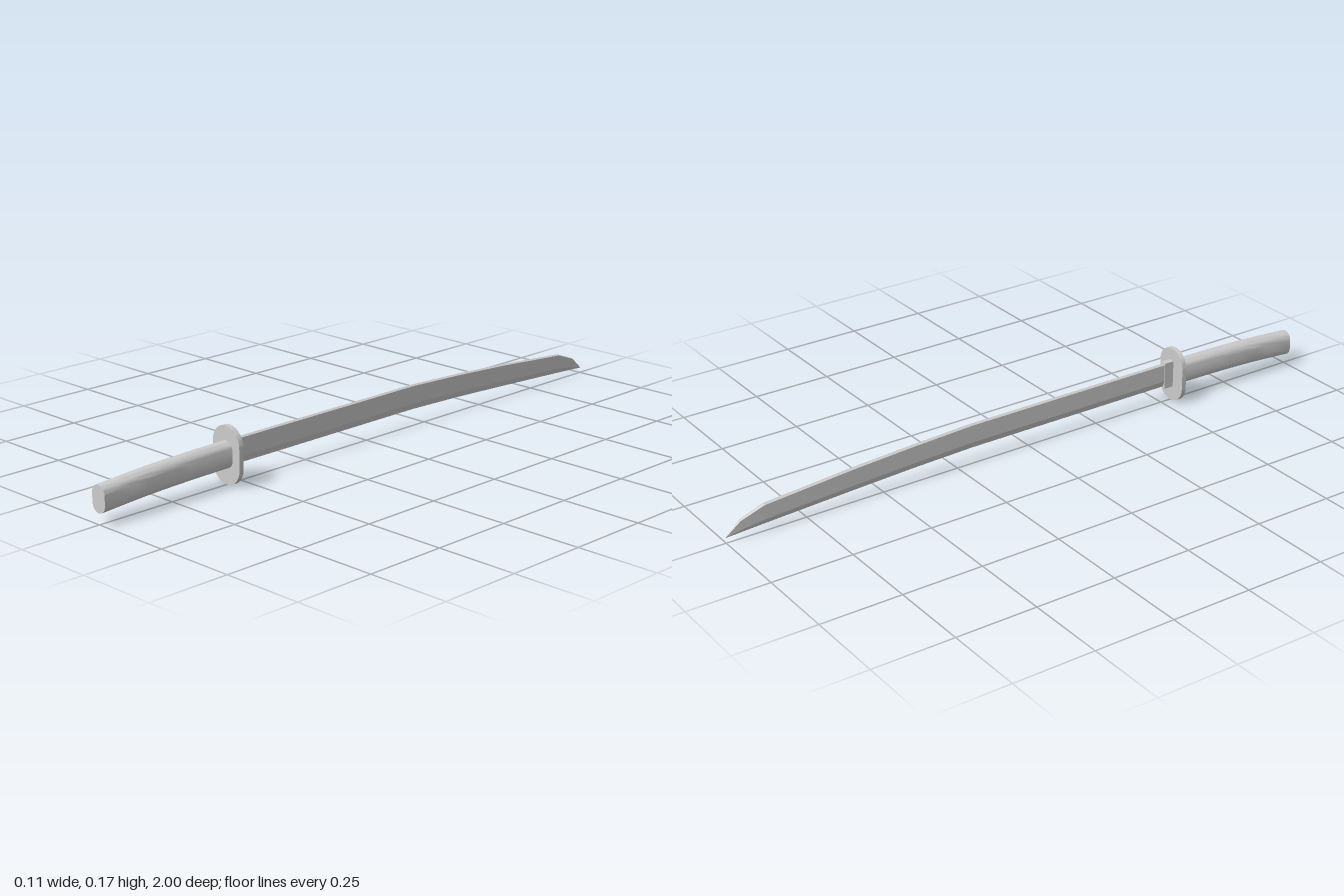
import * as THREE from 'three';
import { toCreasedNormals } from 'three/addons/utils/BufferGeometryUtils.js';

const material = new THREE.MeshStandardMaterial({ color: 0xcccccc });

// Outline of a slot shape (two half circles joined by straight sides), counter-clockwise
function slotPoints(halfWidth, height, steps) {
  const pts = [];
  const straight = height / 2 - halfWidth;
  for (const side of [1, -1]) {
    for (let i = 0; i <= steps; i++) {
      const a = (Math.PI * i) / steps;
      pts.push(new THREE.Vector2(
        side * halfWidth * Math.cos(a),
        side * (straight + halfWidth * Math.sin(a))));
    }
  }
  return pts;
}

// Skin a list of rings { z, points } running from low z to high z, with end caps
function loft(rings, crease) {
  const n = rings[0].points.length;
  const positions = [];
  const index = [];
  for (const { z, points } of rings) {
    for (const p of points) positions.push(p.x, p.y, z);
  }
  for (let r = 0; r < rings.length - 1; r++) {
    for (let i = 0; i < n; i++) {
      const a = r * n + i;
      const b = r * n + ((i + 1) % n);
      index.push(a, b, b + n, a, b + n, a + n);
    }
  }
  const last = (rings.length - 1) * n;
  for (let i = 1; i < n - 1; i++) {
    index.push(0, i + 1, i, last, last + i, last + i + 1);
  }
  const geometry = new THREE.BufferGeometry();
  geometry.setAttribute('position', new THREE.Float32BufferAttribute(positions, 3));
  geometry.setIndex(index);
  return toCreasedNormals(geometry, crease);
}

// Blade cross-section: low ridge on the spine, flat sides, bevel down to the edge
function bladeRing([z, edge, spine, w]) {
  const h = spine - edge;
  const shoulder = spine - h * 0.05;
  const bevel = edge + h * 0.25;
  const points = [
    [0, spine], [-w, shoulder], [-w, bevel],
    [0, edge], [w, bevel], [w, shoulder],
  ].map(([x, y]) => new THREE.Vector2(x, y));
  return { z, points };
}

export function createModel() {
  const group = new THREE.Group();
  const add = (name, geometry) => {
    const mesh = new THREE.Mesh(geometry, material);
    mesh.name = name;
    group.add(mesh);
    return mesh;
  };

  // Blade: z, edge height, spine height, half thickness
  add('blade', loft([
    [-1, 0.016, 0.018, 0.0005],
    [-0.955, 0.019, 0.058, 0.005],
    [-0.88, 0.023, 0.086, 0.007],
    [-0.6, 0.037, 0.109, 0.007],
    [-0.4, 0.046, 0.121, 0.007],
    [-0.2, 0.052, 0.13, 0.007],
    [0.52, 0.052, 0.13, 0.007],
  ].map(bladeRing), 0.2));

  // Collar where the blade meets the guard
  add('collar', new THREE.BoxGeometry(0.019, 0.085, 0.04)).position.set(0, 0.09, 0.525);

  // Guard: flat slot-shaped plate
  const guard = new THREE.ExtrudeGeometry(
    new THREE.Shape(slotPoints(0.054, 0.172, 20)),
    { depth: 0.015, bevelEnabled: false });
  add('guard', toCreasedNormals(guard, 0.6)).position.set(0, 0.086, 0.537);

  // Handle: slot-shaped section that droops towards the end
  const spine = new THREE.SplineCurve([
    new THREE.Vector2(0.545, 0.089),
    new THREE.Vector2(0.7, 0.087),
    new THREE.Vector2(0.85, 0.082),
    new THREE.Vector2(1, 0.072),
  ]);
  const section = slotPoints(0.026, 0.08, 12);
  const rings = spine.getPoints(9).map((c) => ({
    z: c.x,
    points: section.map((p) => new THREE.Vector2(p.x, p.y + c.y)),
  }));
  add('handle', loft(rings, 0.6));

  return group;
}
